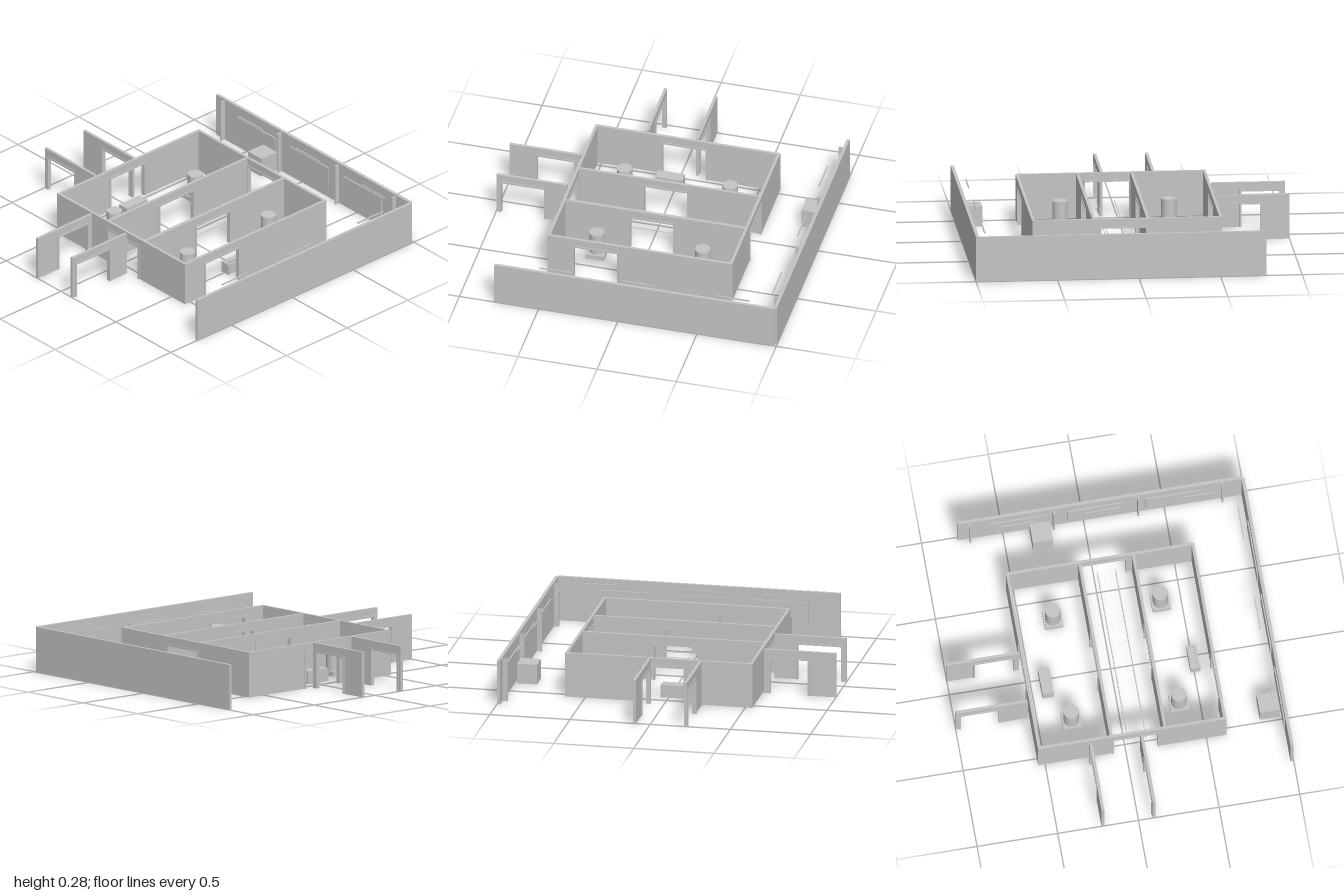
import * as THREE from 'three';

const H = 0.28, DOOR = 0.222, T = 0.018;

export function createModel() {
  const root = new THREE.Group();
  root.name = 'galleryFloor';
  const plaster = new THREE.MeshStandardMaterial({ color: 0xc5c5c5 });
  plaster.name = 'lightGreyPlaster';

  // Box given by its extents on each axis
  function box(name, x0, x1, y0, y1, z0, z1, parent = root) {
    const m = new THREE.Mesh(new THREE.BoxGeometry(x1 - x0, y1 - y0, z1 - z0), plaster);
    m.position.set((x0 + x1) / 2, (y0 + y1) / 2, (z0 + z1) / 2);
    m.name = name;
    parent.add(m);
  }

  // Box along a wall: axis 'x' or 'z', a..b along it, c = centre across it, t = thickness
  function along(name, axis, a, b, y0, y1, c, t, parent = root) {
    if (axis === 'x') box(name, a, b, y0, y1, c - t / 2, c + t / 2, parent);
    else box(name, c - t / 2, c + t / 2, y0, y1, a, b, parent);
  }

  // Wall with a framed doorway whose frame spans d0..d1
  function doorWall(name, axis, a, b, c, d0, d1) {
    const g = new THREE.Group(), f = 0.012, ft = T + 0.009;
    g.name = name;
    along('wallPanel', axis, a, d0 + f / 2, 0, H, c, T, g);
    along('wallPanel', axis, d1 - f / 2, b, 0, H, c, T, g);
    along('wallOverDoor', axis, d0 + f / 2, d1 - f / 2, DOOR + f / 2, H, c, T, g);
    along('doorJamb', axis, d0, d0 + f, 0, DOOR, c, ft, g);
    along('doorJamb', axis, d1 - f, d1, 0, DOOR, c, ft, g);
    along('doorLintel', axis, d0, d1, DOOR, DOOR + f, c, ft, g);
    root.add(g);
  }

  // Two outer walls meeting at a corner
  box('outerFrontWall', -0.78, 0.985, 0, H, 0.98, 1);
  box('outerSideWall', 0.98, 1, 0, H, -0.78, 0.985);

  // Central building: two long rooms with a corridor between
  doorWall('backWall', 'x', -0.541, 0.619, -0.534, -0.126, 0.168);
  doorWall('corridorBackWall', 'x', -0.526, 0.609, -0.088, -0.126, 0.168);
  doorWall('corridorFrontWall', 'x', -0.526, 0.609, 0.245, -0.126, 0.168);
  doorWall('frontWall', 'x', -0.541, 0.619, 0.615, -0.386, -0.091);
  doorWall('rightWall', 'z', -0.541, 0.619, -0.534, -0.086, 0.209);
  doorWall('leftWall', 'z', -0.541, 0.619, 0.615, -0.086, 0.209);

  // Stub walls reaching outward
  doorWall('backStubWall', 'z', -1, -0.553, -0.22, -0.98, -0.72);
  doorWall('backStubWall', 'z', -1, -0.553, 0.097, -0.837, -0.575);
  doorWall('sideStubWall', 'x', -1, -0.553, -0.22, -0.837, -0.58);
  doorWall('sideStubWall', 'x', -1, -0.553, 0.097, -0.98, -0.685);

  // Corridor barrier rails
  for (const z of [0.02, 0.132])
    for (const y of [0.06, 0.11]) along('barrierRail', 'x', -0.513, 0.592, y, y + 0.003, z, 0.004);

  // Round pedestals on square bases
  for (const x of [-0.295, 0.372])
    for (const z of [-0.295, 0.372]) {
      box('pedestalBase', x - 0.057, x + 0.057, 0, 0.03, z - 0.057, z + 0.057);
      const c = new THREE.Mesh(new THREE.CylinderGeometry(0.047, 0.047, 0.14, 32), plaster);
      c.position.set(x, 0.1, z);
      c.name = 'pedestalColumn';
      root.add(c);
    }

  // Benches and display blocks
  box('backBench', -0.121, 0.049, 0, 0.08, -0.443, -0.373);
  box('frontBench', -0.108, 0.042, 0, 0.07, 0.477, 0.537);
  box('frontBenchBack', -0.098, 0.027, 0.07, 0.085, 0.519, 0.525);
  box('displayBlock', -0.482, -0.362, 0, 0.125, 0.842, 0.967);
  box('displayBlock', 0.842, 0.967, 0, 0.125, -0.337, -0.212);

  // Picture panels on the outer walls
  for (const [a, b] of [[-0.58, -0.23], [-0.098, 0.247], [0.382, 0.732]]) {
    along('frontPicture', 'x', a, b, 0.07, 0.21, 0.976, 0.008);
    along('sidePicture', 'z', a, b, 0.07, 0.21, 0.976, 0.008);
  }
  // Light bars hung in front of the panels
  for (const [a, b] of [[-0.513, -0.303], [0.007, 0.217], [0.602, 0.812]]) {
    along('frontLightBar', 'x', a, b, 0.255, 0.263, 0.929, 0.007);
    along('sideLightBar', 'z', a, b, 0.255, 0.263, 0.929, 0.007);
  }
  // Upright fins dividing the side wall
  for (const z of [-0.705, -0.187, 0.337, 0.857])
    box('wallFin', 0.949, 0.98, 0, 0.27, z - 0.005, z + 0.005);

  return root;
}
